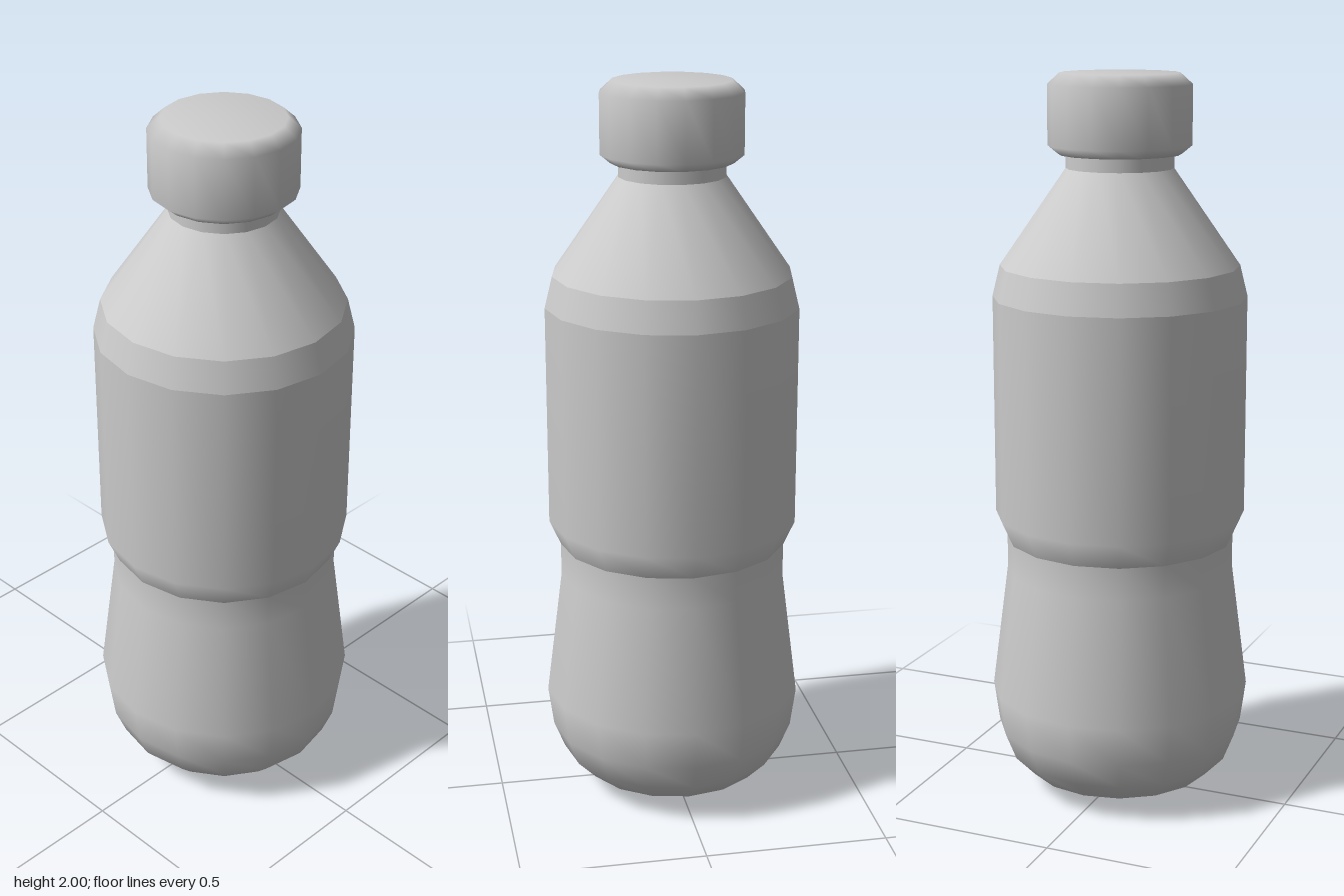
import * as THREE from 'three';

const SIDES = 16;

export function createModel() {
  const bottle = new THREE.Group();
  bottle.name = 'bottle';
  const grey = new THREE.MeshStandardMaterial({ color: 0xcccccc });
  grey.name = 'light grey';

  // Each part is a turned profile [radius, height], listed from bottom to top.
  // Normals are smooth within a part and sharp where two parts meet.
  const turn = (name, profile) => {
    const points = profile.map(([r, y]) => new THREE.Vector2(r, y));
    const mesh = new THREE.Mesh(new THREE.LatheGeometry(points, SIDES), grey);
    mesh.name = name;
    bottle.add(mesh);
  };

  // rounded base and tapering grip
  turn('lowerBody', [
    [0, 0], [0.1, 0.003], [0.18, 0.016], [0.26, 0.048], [0.315, 0.105],
    [0.345, 0.18], [0.36, 0.29], [0.315, 0.64], [0.315, 0.73],
  ]);
  // straight middle with a small flare at its lower edge
  turn('upperBody', [[0.315, 0.73], [0.346, 0.8], [0.346, 1.405]]);
  // bevel, sloping shoulder and neck
  turn('shoulderBevel', [[0.346, 1.405], [0.325, 1.49]]);
  turn('shoulder', [[0.325, 1.49], [0.145, 1.75]]);
  turn('neck', [[0.145, 1.75], [0.145, 1.8]]);
  // screw cap with bevelled rims
  turn('cap', [
    [0.13, 1.79], [0.165, 1.787], [0.193, 1.81], [0.193, 1.97], [0.16, 2], [0, 2],
  ]);

  return bottle;
}
